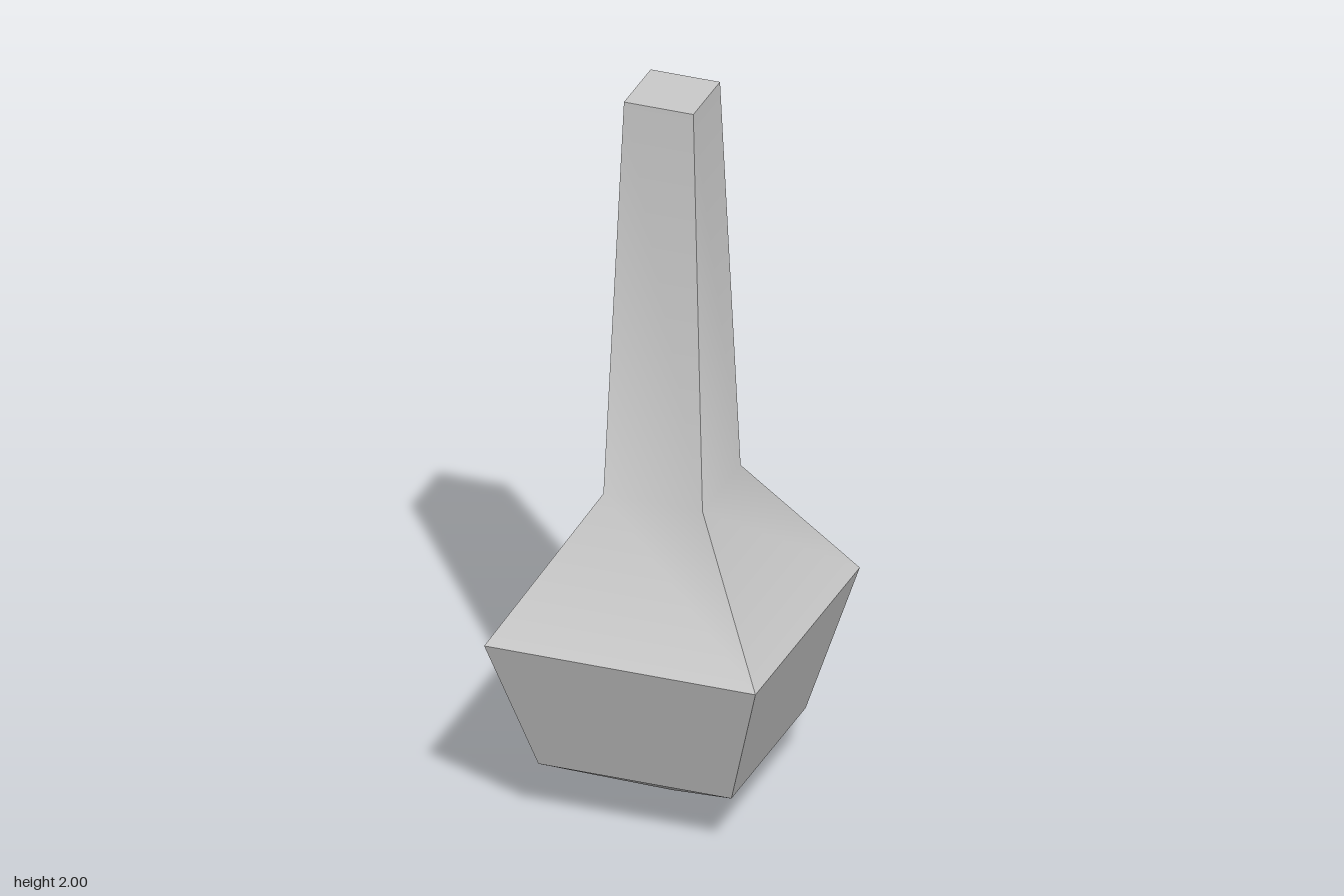
import * as THREE from 'three';
import { toCreasedNormals } from 'three/addons/utils/BufferGeometryUtils.js';

export function createModel() {
  const group = new THREE.Group();
  group.name = 'taperedPost';

  // Profile (radius, height) from the bottom tip to the flat top
  const profile = [
    [0, 0],        // tip
    [0.37, 0.155], // lower edge of the bulb
    [0.52, 0.525], // widest edge
    [0.19, 0.89],  // shoulder flowing into the neck
    [0.133, 2],    // neck top
    [0, 2],        // cap centre
  ].map(([r, y]) => new THREE.Vector2(r, y));

  // Four-sided body: soft at the shoulder, sharp on every other edge
  const geometry = toCreasedNormals(
    new THREE.LatheGeometry(profile, 4),
    THREE.MathUtils.degToRad(36)
  );
  const body = new THREE.Mesh(geometry, new THREE.MeshStandardMaterial({ color: 0xcccccc }));
  body.name = 'body';
  group.add(body);

  return group;
}
